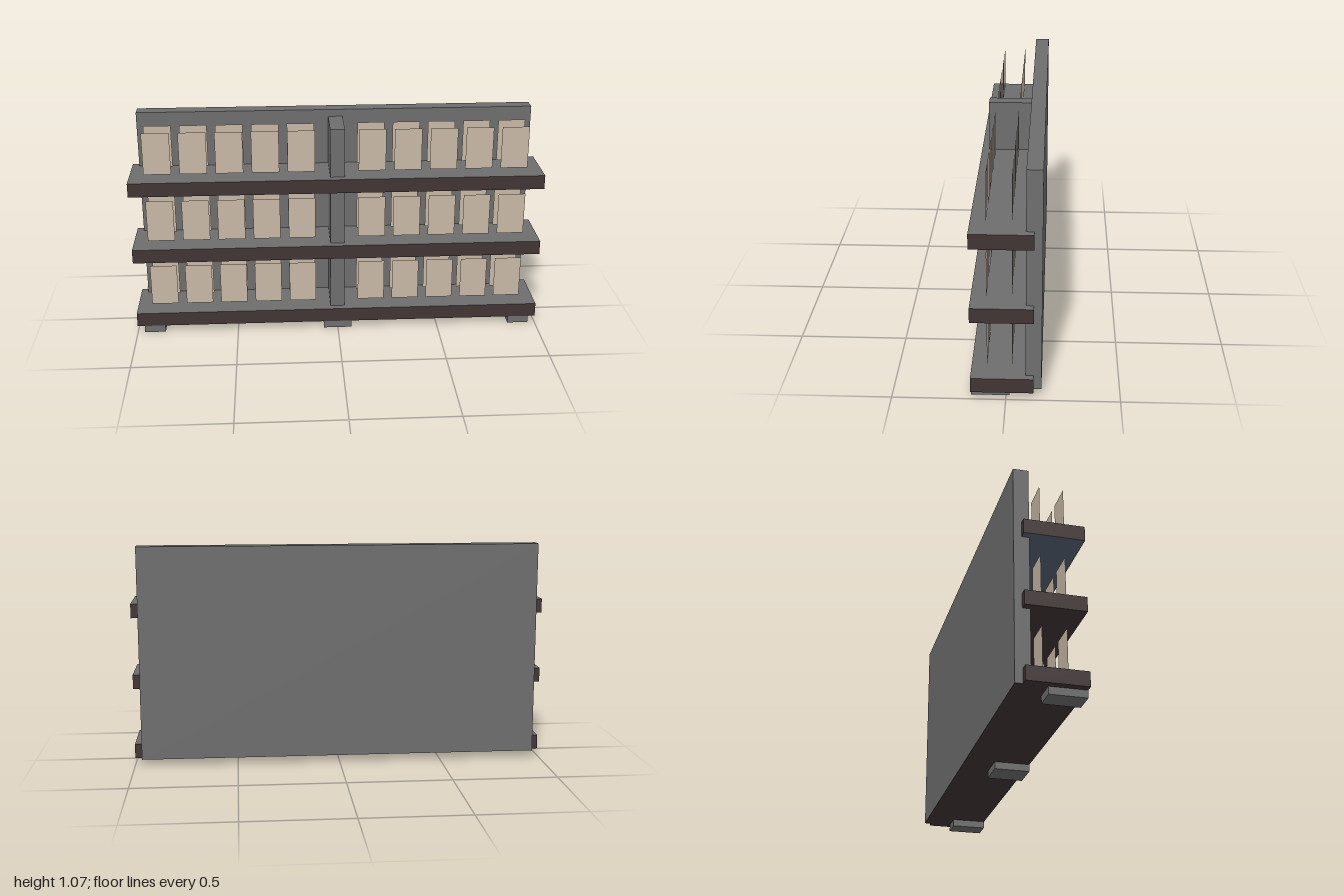
import * as THREE from 'three';

const paint = (name, color, side = THREE.FrontSide) => {
  const m = new THREE.MeshStandardMaterial({ color, side });
  m.name = name;
  return m;
};

export function createModel() {
  const grey = paint('grey metal', 0x6e6e6e);
  const brown = paint('dark brown', 0x423535);
  const slate = paint('slate blue', 0x566474);
  const tan = paint('tan card', 0xc9b8a6, THREE.DoubleSide);

  const model = new THREE.Group();
  model.name = 'shelfUnit';

  // Box given by its minimum and maximum corners
  const box = (name, [x0, y0, z0], [x1, y1, z1], material) => {
    const mesh = new THREE.Mesh(new THREE.BoxGeometry(x1 - x0, y1 - y0, z1 - z0), material);
    mesh.position.set((x0 + x1) / 2, (y0 + y1) / 2, (z0 + z1) / 2);
    mesh.name = name;
    model.add(mesh);
  };

  // Back board with a dark lower edge, and the central divider
  box('backBoard', [-0.965, 0.035, -0.155], [0.965, 1.07, -0.085],
    [grey, grey, grey, brown, grey, grey]);
  box('divider', [-0.035, 0.09, -0.09], [0.035, 1.035, 0.12], grey);

  // Feet under the front
  for (const [x0, x1] of [[-0.965, -0.862], [-0.069, 0.069], [0.862, 0.965]]) {
    box('foot', [x0, 0, -0.015], [x1, 0.036, 0.155], grey);
  }

  const card = new THREE.PlaneGeometry(0.132, 0.208);
  [0.035, 0.38, 0.726].forEach((y, level) => {
    // Shelf: grey top, brown edges, slate underside on the top shelf
    const under = level === 2 ? slate : brown;
    box('shelf', [-1, y, -0.12], [1, y + 0.069, 0.155],
      [brown, brown, grey, under, brown, brown]);

    // Two rows of upright cards on each side of the divider
    const cards = new THREE.Group();
    cards.name = 'cards';
    for (const z of [0.085, -0.025]) {
      for (const start of [-0.862, 0.17]) {
        for (let i = 0; i < 5; i++) {
          const mesh = new THREE.Mesh(card, tan);
          mesh.position.set(start + i * 0.1725, y + 0.191, z);
          mesh.name = 'card';
          cards.add(mesh);
        }
      }
    }
    model.add(cards);
  });

  return model;
}
